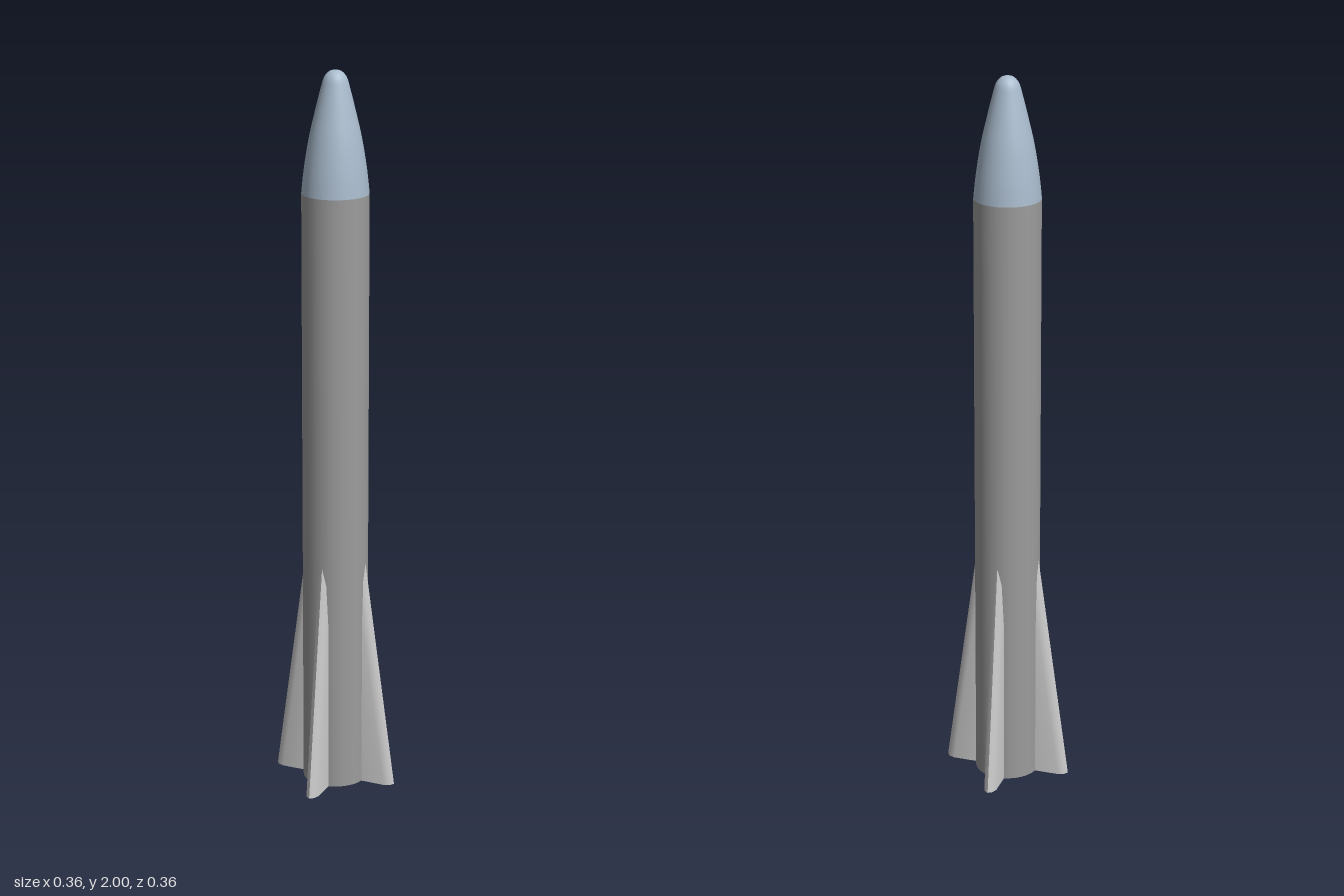
import * as THREE from 'three';
import { toCreasedNormals } from 'three/addons/utils/BufferGeometryUtils.js';

const RADIUS = 0.09, BODY_TOP = 1.675, FIN_TOP = 0.65, FIN_REACH = 0.18;

// Blunt ogive: steep sides rounding over into a small dome
function noseGeometry() {
  const curve = new THREE.SplineCurve([
    [RADIUS, BODY_TOP], [0.083, 1.74], [0.07, 1.82], [0.054, 1.89],
    [0.039, 1.95], [0.03, 1.98], [0.016, 1.996], [0, 2],
  ].map(([r, y]) => new THREE.Vector2(r, y)));
  const points = curve.getPoints(28);
  points[points.length - 1].set(0, 2);
  return new THREE.LatheGeometry(points, 32);
}

// Constant cross-section with a faceted outer edge, sheared inward with height
function finGeometry() {
  const half = [[0.087, 0.018], [0.155, 0.018], [0.172, 0.012]];
  const outline = [
    ...half.map(([x, z]) => [x, -z]),
    [FIN_REACH, 0],
    ...half.slice().reverse(),
  ].map(([x, z]) => new THREE.Vector2(x, z));
  const geometry = new THREE.ExtrudeGeometry(new THREE.Shape(outline), {
    depth: FIN_TOP, bevelEnabled: false,
  });
  geometry.rotateX(-Math.PI / 2);
  const position = geometry.attributes.position;
  for (let i = 0; i < position.count; i++) {
    const shift = (FIN_REACH - RADIUS) * position.getY(i) / FIN_TOP;
    position.setX(i, position.getX(i) - shift);
  }
  return toCreasedNormals(geometry, 0.7);
}

export function createModel() {
  const model = new THREE.Group();
  model.name = 'rocket';
  const bodyMaterial = new THREE.MeshStandardMaterial({ color: 0x9c9c9c });
  const noseMaterial = new THREE.MeshStandardMaterial({ color: 0xa9bbcd });
  const finMaterial = new THREE.MeshStandardMaterial({ color: 0xcccccc });

  // Straight body tube with a flat base
  const body = new THREE.Mesh(new THREE.CylinderGeometry(RADIUS, RADIUS, BODY_TOP, 32), bodyMaterial);
  body.name = 'body';
  body.position.y = BODY_TOP / 2;
  model.add(body);

  // Nose cone
  const nose = new THREE.Mesh(noseGeometry(), noseMaterial);
  nose.name = 'noseCone';
  model.add(nose);

  // Four tail fins around the base
  const finShape = finGeometry();
  ['leftFin', 'backFin', 'rightFin', 'frontFin'].forEach((name, i) => {
    const fin = new THREE.Mesh(finShape, finMaterial);
    fin.name = name;
    fin.rotation.y = i * Math.PI / 2;
    model.add(fin);
  });

  return model;
}
